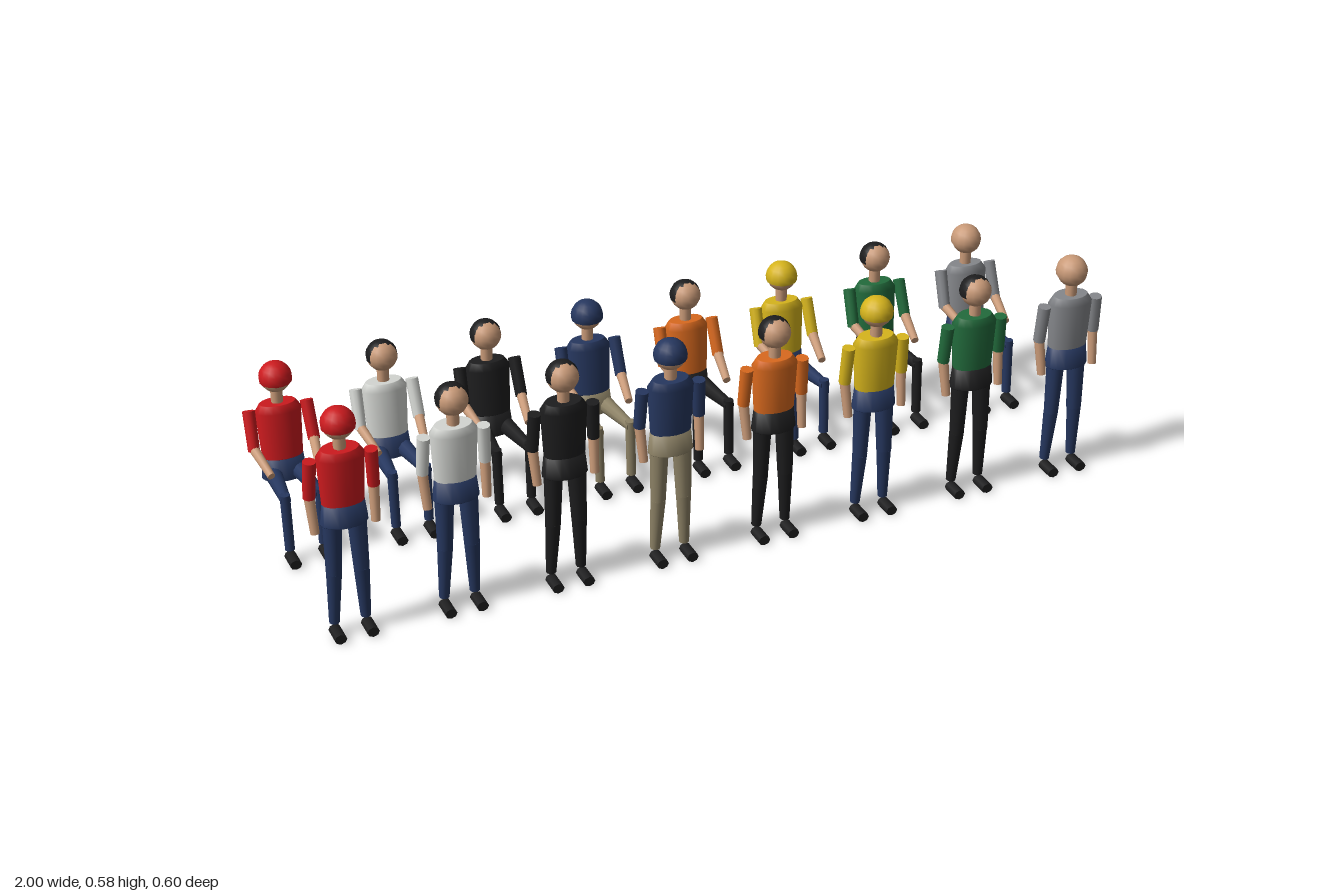
import * as THREE from 'three';

const COLOURS = {
  red: 0xcc1a1e, white: 0xd4d6d2, black: 0x1d1d1e, navy: 0x26375f, orange: 0xd9691e,
  yellow: 0xd6b41c, green: 0x226b3c, grey: 0x85878b, tan: 0x8c8165, skin: 0xc99a78,
};

// Outfits from the model's right to its left: shirt, trousers, headwear, and whether it is a hat
const OUTFITS = [
  ['red', 'navy', 'red', true],
  ['white', 'navy', 'black', false],
  ['black', 'black', 'black', false],
  ['navy', 'tan', 'navy', true],
  ['orange', 'black', 'black', false],
  ['yellow', 'navy', 'yellow', true],
  ['green', 'black', 'black', false],
  ['grey', 'navy', 'skin', false],
];

// Joints as [x, y, z] for the left side; each limb is [start, end, start radius, end radius]
const STANDING = {
  pelvis: [0.292, 0.255], torso: [0.343, 0.255], lean: 0, neck: [0.476, 0.256], head: [0.54, 0.255],
  upperArm: [[0.07, 0.459, 0.256], [0.074, 0.364, 0.2475], 0.0155, 0.0145],
  forearm: [[0.074, 0.37, 0.247], [0.07, 0.279, 0.2625], 0.0125, 0.0105],
  thigh: [[0.028, 0.3, 0.255], [0.032, 0.163, 0.2565], 0.0225, 0.018],
  shin: [[0.032, 0.166, 0.2565], [0.037, 0.03, 0.249], 0.018, 0.012],
  shoe: [0.038, 0.0125, 0.2745],
};
const SEATED = {
  pelvis: [0.14, -0.241], torso: [0.192, -0.242], lean: -0.115, neck: [0.328, -0.257], head: [0.394, -0.257],
  upperArm: [[0.07, 0.317, -0.257], [0.073, 0.228, -0.222], 0.0155, 0.0145],
  forearm: [[0.073, 0.233, -0.224], [0.058, 0.203, -0.135], 0.0125, 0.0095],
  thigh: [[0.03, 0.155, -0.234], [0.042, 0.163, -0.082], 0.0215, 0.0125],
  shin: [[0.042, 0.175, -0.0895], [0.041, 0.03, -0.083], 0.0125, 0.0118],
  shoe: [0.041, 0.0125, -0.0615],
};

const UP = new THREE.Vector3(0, 1, 0);

// Tapered cylinder between two joints
function limb([a, b, ra, rb], side, material, name) {
  const start = new THREE.Vector3(a[0] * side, a[1], a[2]);
  const dir = new THREE.Vector3(b[0] * side, b[1], b[2]).sub(start);
  const mesh = new THREE.Mesh(new THREE.CylinderGeometry(rb, ra, dir.length(), 10), material);
  mesh.position.copy(start).addScaledVector(dir, 0.5);
  mesh.quaternion.setFromUnitVectors(UP, dir.normalize());
  mesh.name = name;
  return mesh;
}

// Oval body section made of stacked rings [half width, height]
function body(rings, depth, [y, z], lean, material, name) {
  const points = rings.map(([r, h]) => new THREE.Vector2(r, h));
  const mesh = new THREE.Mesh(new THREE.LatheGeometry(points, 16), material);
  mesh.scale.z = depth;
  mesh.position.set(0, y, z);
  mesh.rotation.x = lean;
  mesh.name = name;
  return mesh;
}

function createPerson(pose, [shirt, trousers, top, isHat], mats) {
  const person = new THREE.Group();

  // Trunk
  person.add(
    body([[0, 0], [0.055, 0], [0.055, 0.001], [0.049, 0.053], [0, 0.053]], 0.68,
      pose.pelvis, 0, mats[trousers], 'pelvis'),
    body([[0, 0], [0.049, 0], [0.0495, 0.001], [0.056, 0.117], [0.044, 0.135], [0.043, 0.136], [0, 0.136]], 0.67,
      pose.torso, pose.lean, mats[shirt], 'torso'),
  );

  // Neck and head
  const [neckY, neckZ] = pose.neck;
  person.add(limb([[0, neckY, neckZ], [0, neckY + 0.035, neckZ], 0.0143, 0.0143], 1, mats.skin, 'neck'));
  const head = new THREE.Mesh(new THREE.SphereGeometry(0.0372, 14, 10), mats.skin);
  head.position.set(0, ...pose.head);
  head.name = 'head';

  // Hats sit centred, hair sits slightly back
  const cover = new THREE.Mesh(
    new THREE.SphereGeometry(isHat ? 0.0395 : 0.0382, 14, 6, 0, Math.PI * 2, 0, Math.PI * 0.58), mats[top]);
  cover.position.set(0, pose.head[0] - (isHat ? 0.001 : 0), pose.head[1] - (isHat ? 0 : 0.0028));
  cover.name = isHat ? 'hat' : 'hair';
  person.add(head, cover);

  // Mirrored limbs and shoes
  for (const side of [1, -1]) {
    const label = side > 0 ? 'left' : 'right';
    person.add(
      limb(pose.upperArm, side, mats[shirt], label + 'Sleeve'),
      limb(pose.forearm, side, mats.skin, label + 'Forearm'),
      limb(pose.thigh, side, mats[trousers], label + 'Thigh'),
      limb(pose.shin, side, mats[trousers], label + 'Shin'),
    );
    const shoe = new THREE.Mesh(new THREE.CylinderGeometry(0.0145, 0.0145, 0.049, 8), mats.black);
    shoe.rotation.x = Math.PI / 2;
    shoe.scale.z = 0.0125 / 0.0145;
    shoe.position.set(pose.shoe[0] * side, pose.shoe[1], pose.shoe[2]);
    shoe.name = label + 'Shoe';
    person.add(shoe);
  }
  return person;
}

export function createModel() {
  const model = new THREE.Group();
  model.name = 'peopleSet';
  const mats = {};
  for (const [name, color] of Object.entries(COLOURS)) {
    mats[name] = new THREE.MeshStandardMaterial({ color });
    mats[name].name = name;
  }

  // A standing row in front and a seated row behind
  OUTFITS.forEach((outfit, i) => {
    for (const [pose, label] of [[STANDING, 'standing'], [SEATED, 'seated']]) {
      const person = createPerson(pose, outfit, mats);
      person.position.x = (i - 3.5) * 0.2605;
      person.name = `${label}Person${i + 1}`;
      model.add(person);
    }
  });
  return model;
}
